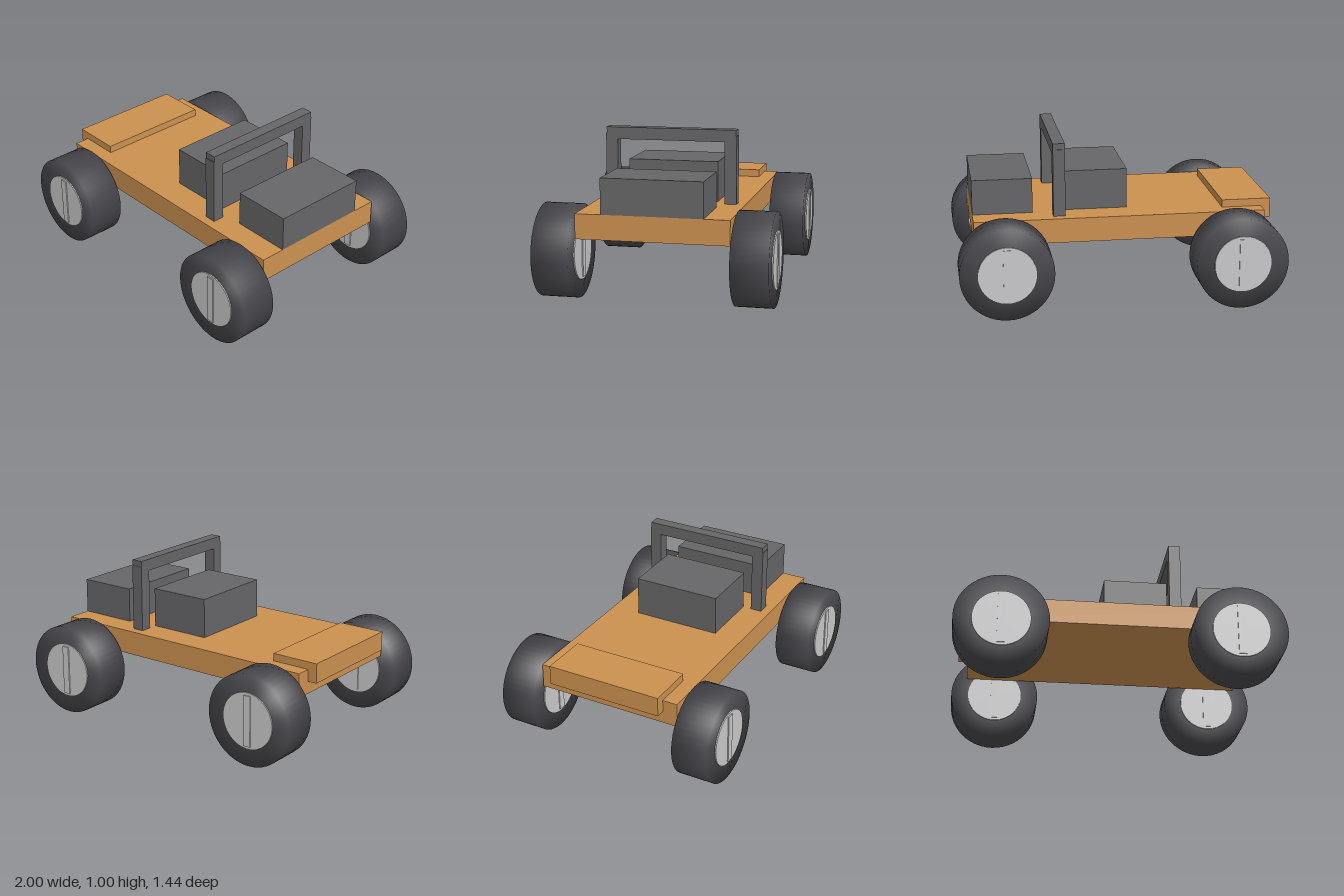
import * as THREE from 'three';

const paint = (name, color) => {
  const m = new THREE.MeshStandardMaterial({ color });
  m.name = name;
  return m;
};

export function createModel() {
  const orange = paint('orange', 0xcc9150);
  const grey = paint('dark grey', 0x666668);
  const rubber = paint('rubber black', 0x48484d);
  const silver = paint('light grey', 0xcacacc);

  const model = new THREE.Group();
  model.name = 'buggy';

  // box from its minimum and maximum extents
  const box = (name, material, [x0, x1], [y0, y1], [z0, z1], parent = model) => {
    const mesh = new THREE.Mesh(new THREE.BoxGeometry(x1 - x0, y1 - y0, z1 - z0), material);
    mesh.position.set((x0 + x1) / 2, (y0 + y1) / 2, (z0 + z1) / 2);
    mesh.name = name;
    parent.add(mesh);
    return mesh;
  };

  // body
  box('deck', orange, [-0.903, 0.897], [0.393, 0.545], [-0.465, 0.465]);
  box('nosePlate', orange, [-0.962, -0.655], [0.47, 0.592], [-0.371, 0.371]);
  box('seat', grey, [-0.065, 0.335], [0.545, 0.794], [-0.28, 0.28]);
  box('engine', grey, [0.525, 0.897], [0.545, 0.763], [-0.309, 0.309]);

  // roll bar: two posts and a crossbar
  const rollBar = new THREE.Group();
  rollBar.name = 'rollBar';
  model.add(rollBar);
  box('leftPost', grey, [0.332, 0.406], [0.545, 0.963], [0.335, 0.409], rollBar);
  box('rightPost', grey, [0.332, 0.406], [0.545, 0.963], [-0.409, -0.335], rollBar);
  box('crossbar', grey, [0.332, 0.406], [0.926, 1.0], [-0.405, 0.405], rollBar);

  // wheels: soft-shaded tyre, hub disc and slot bar showing on both sides
  const half = 0.114, radius = 0.285;
  const profile = [[0.1, -half], [radius, -half], [radius, half], [0.1, half]]
    .map(([r, y]) => new THREE.Vector2(r, y));
  const tyreGeometry = new THREE.LatheGeometry(profile, 48).rotateX(Math.PI / 2);
  const hubGeometry = new THREE.CylinderGeometry(0.175, 0.175, 0.243, 48).rotateX(Math.PI / 2);
  const barGeometry = new THREE.BoxGeometry(0.048, 0.316, 0.256);
  for (const x of [-0.715, 0.715]) {
    for (const z of [-0.593, 0.593]) {
      const wheel = new THREE.Group();
      wheel.name = (x < 0 ? 'nose' : 'tail') + (z < 0 ? 'Far' : 'Near') + 'Wheel';
      wheel.position.set(x, radius, z);
      for (const [name, geometry, material] of [
        ['tyre', tyreGeometry, rubber], ['hub', hubGeometry, silver], ['hubBar', barGeometry, silver],
      ]) {
        const mesh = new THREE.Mesh(geometry, material);
        mesh.name = name;
        wheel.add(mesh);
      }
      model.add(wheel);
    }
  }
  return model;
}
